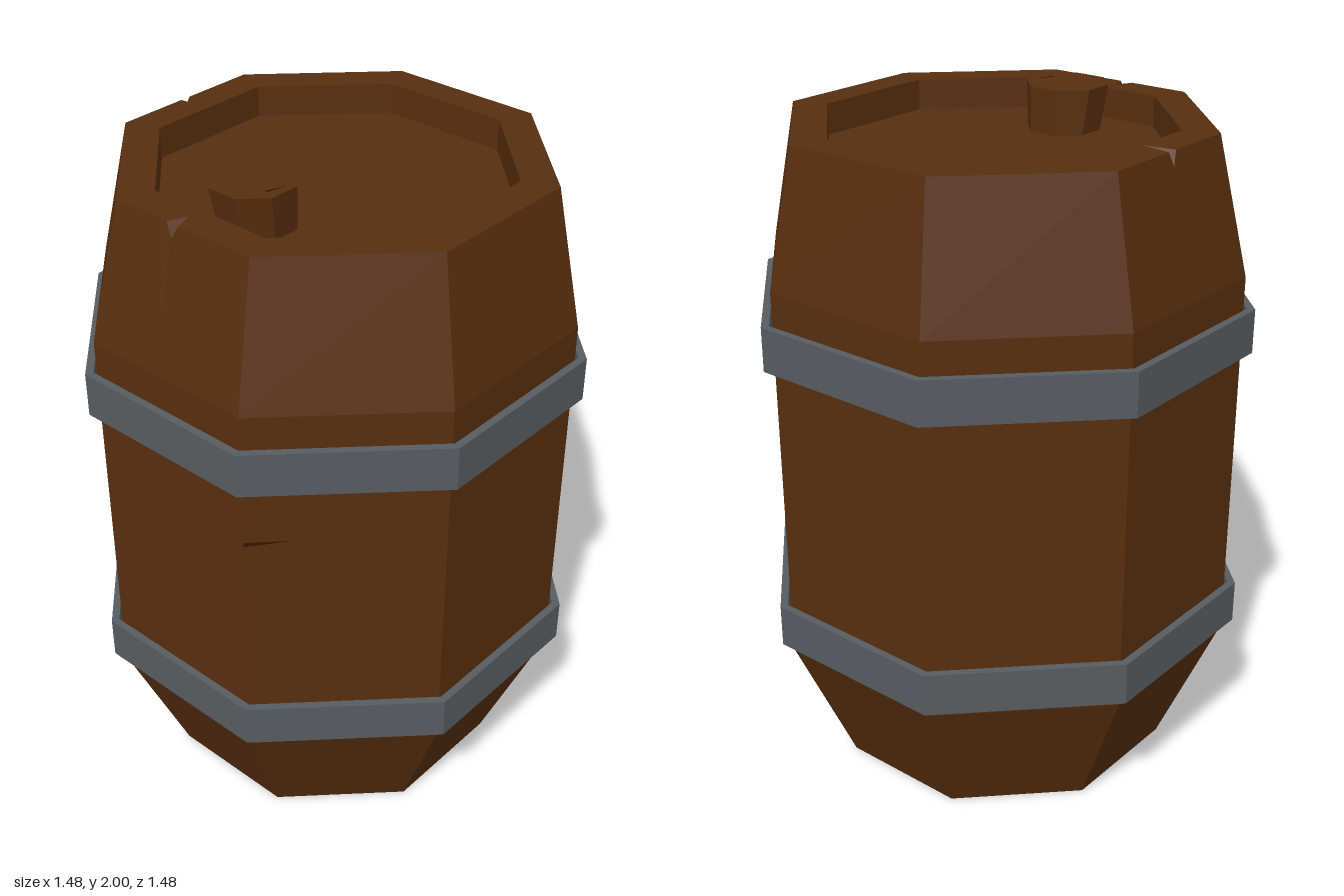
import * as THREE from 'three';

const wood = new THREE.MeshStandardMaterial({ color: 0x572e0f });
const darkWood = new THREE.MeshStandardMaterial({ color: 0x2e1808 });
const iron = new THREE.MeshStandardMaterial({ color: 0x575c60 });
wood.name = 'wood'; darkWood.name = 'dark wood'; iron.name = 'iron';

// Chips in the top rim: s = place along the octagon (0..8), half = half width
const notches = [{ s: 3.56, half: 0.045 }, { s: 5.49, half: 0.035 }];

const corner = (k) => [Math.cos(k * Math.PI / 4), Math.sin(k * Math.PI / 4)];

// Octagonal ring; w = notch width factors, d = notch depths
function ring({ r, y, cx = 0, cz = 0, w = [0, 0], d = [0, 0], chips = true }) {
  const stops = [];
  for (let k = 0; k < 8; k++) {
    stops.push([k, 0]);
    if (chips) notches.forEach((n, i) => {
      if (Math.floor(n.s) !== k) return;
      const h = n.half * w[i];
      stops.push([n.s - h, 0], [n.s, d[i]], [n.s + h, 0]);
    });
  }
  return stops.map(([s, drop]) => {
    const k = Math.floor(s), f = s - k, a = corner(k), b = corner(k + 1);
    // a dropped point slides down the sloping side wall
    const rr = r + drop * 0.2;
    return [cx + rr * (a[0] + (b[0] - a[0]) * f), y - drop, cz + rr * (a[1] + (b[1] - a[1]) * f)];
  });
}

// Stitch rings into a faceted surface
function loft(rings) {
  const pos = [];
  for (let i = 0; i < rings.length - 1; i++) {
    const lo = rings[i], hi = rings[i + 1], n = lo.length;
    for (let j = 0; j < n; j++) {
      const m = (j + 1) % n;
      pos.push(...lo[j], ...hi[j], ...lo[m], ...lo[m], ...hi[j], ...hi[m]);
    }
  }
  const g = new THREE.BufferGeometry();
  g.setAttribute('position', new THREE.Float32BufferAttribute(pos, 3));
  g.computeVertexNormals();
  return g;
}

function add(group, name, geometry, material) {
  const mesh = new THREE.Mesh(geometry, material);
  mesh.name = name;
  group.add(mesh);
  return mesh;
}

// Thin three-sided sliver for a crack
function sliver(length, width) {
  const s = new THREE.Shape();
  s.moveTo(0, 0);
  s.lineTo(length, width);
  s.lineTo(0, width * 0.9);
  return new THREE.ExtrudeGeometry(s, { depth: 0.002, bevelEnabled: false });
}

export function createModel() {
  const barrel = new THREE.Group();
  barrel.name = 'barrel';

  // Body with recessed bottom, straight middle and recessed lid
  const top = { cx: 0.01, cz: -0.005 };
  add(barrel, 'body', loft([
    { r: 0, y: 0.06 },
    { r: 0.41, y: 0.06 },
    { r: 0.41, y: 0 },
    { r: 0.52, y: 0 },
    { r: 0.705, y: 0.43 },
    { r: 0.705, y: 1.56 },
    { r: 0.617, y: 1.96, ...top, w: [1, 1], d: [0.04, 0.04] },
    { r: 0.56, y: 1.96, ...top, w: [0, 0.5], d: [0, 0.02] },
    { r: 0.512, y: 1.96, ...top },
    { r: 0.512, y: 1.87, ...top },
    { r: 0, y: 1.87, ...top },
  ].map(ring)), wood);

  // Iron hoops
  [['lowerHoop', 0.455], ['upperHoop', 1.338]].forEach(([name, y]) => {
    const t = y + 0.13;
    add(barrel, name, loft([
      [0.714, y], [0.738, y], [0.738, t], [0.714, t], [0.714, y],
    ].map(([r, h]) => ring({ r, y: h, chips: false }))), iron);
  });

  // Stopper, widening slightly to the top
  add(barrel, 'stopper', loft([
    { r: 0.108, y: 1.865, cx: -0.268, cz: 0.115, chips: false },
    { r: 0.122, y: 2, cx: -0.282, cz: 0.12, chips: false },
    { r: 0, y: 2, cx: -0.282, cz: 0.12, chips: false },
  ].map(ring)), wood);

  // Crack starting at the front left corner
  const crack = add(barrel, 'sideCrack', sliver(0.12, 0.014), darkWood);
  crack.position.set(-0.4985, 1.152, 0.4985);
  crack.rotation.y = -Math.PI / 8;

  // Small crack on the stopper
  const nick = add(barrel, 'stopperCrack', sliver(0.06, 0.01), darkWood);
  nick.position.set(-0.28, 1.9985, 0.205);
  nick.rotation.x = -Math.PI / 2;

  return barrel;
}
